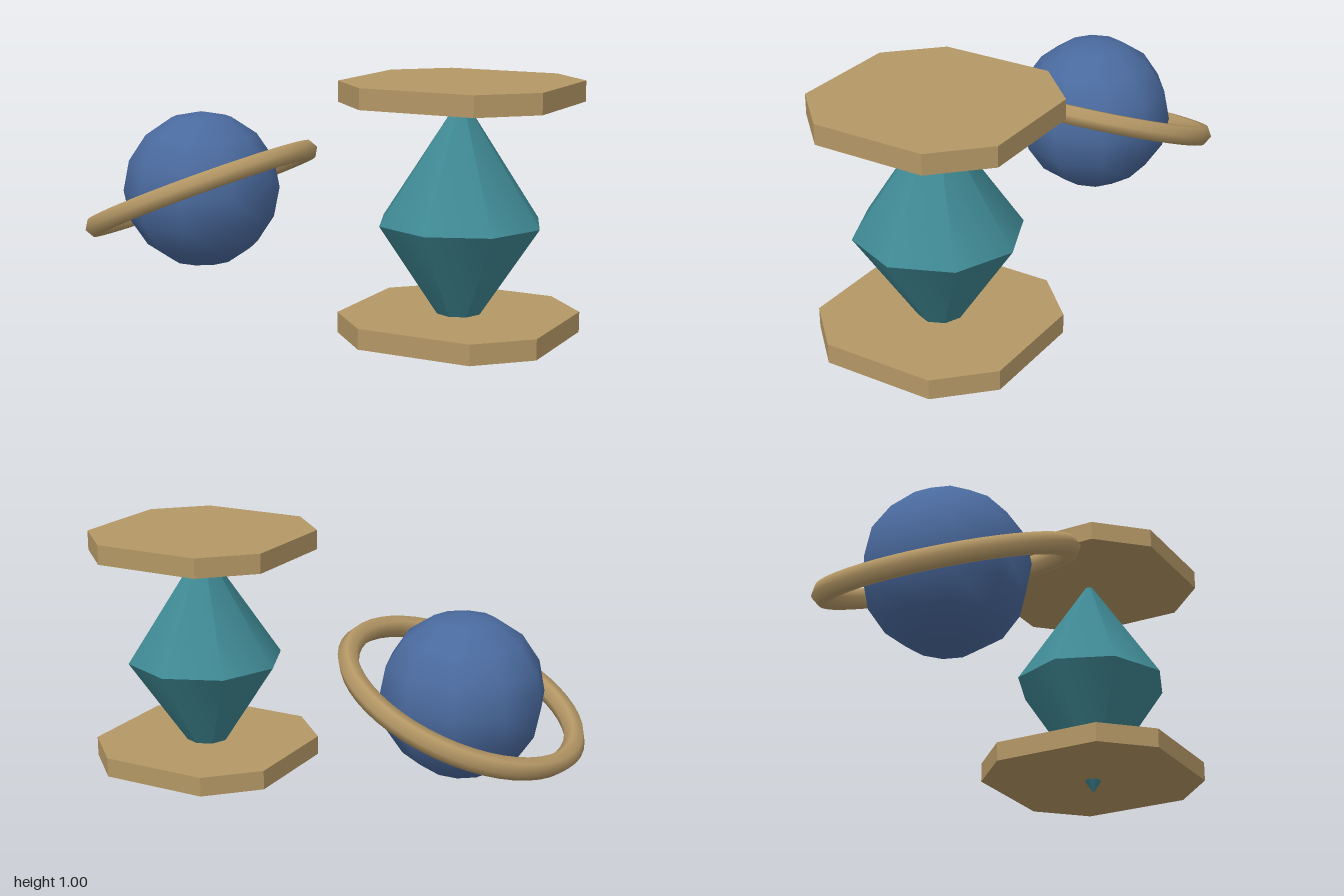
import * as THREE from 'three';

const material = (name, color) => {
  const m = new THREE.MeshStandardMaterial({ color });
  m.name = name;
  return m;
};

export function createModel() {
  const blue = material('planet blue', 0x4a6a9e);
  const tan = material('tan', 0xb49765);
  const teal = material('crystal teal', 0x3f8994);

  const add = (parent, name, geometry, mat, y = 0) => {
    const mesh = new THREE.Mesh(geometry, mat);
    mesh.name = name;
    mesh.position.y = y;
    parent.add(mesh);
    return mesh;
  };

  // Ringed planet, ring raised towards +x
  const planet = new THREE.Group();
  planet.name = 'ringedPlanet';
  planet.position.set(-0.542, 0.508, 0);
  add(planet, 'planetBall', new THREE.SphereGeometry(0.317, 10, 8), blue);
  const ringGeometry = new THREE.TorusGeometry(0.456, 0.042, 6, 48).rotateX(Math.PI / 2);
  add(planet, 'planetRing', ringGeometry, tan).rotation.z = 0.4;

  // Double-pointed crystal held between two plates
  const hourglass = new THREE.Group();
  hourglass.name = 'crystalStand';
  hourglass.position.x = 0.6;
  const coneHeight = 0.475, waist = 0.48;
  const cone = () => new THREE.ConeGeometry(0.317, coneHeight, 8, 1, true);
  add(hourglass, 'crystalTop', cone(), teal, waist + coneHeight / 2);
  add(hourglass, 'crystalBottom', cone().rotateX(Math.PI), teal, waist - coneHeight / 2);

  // Eight-sided plates with slightly short corner cuts
  const a = 0.4, b = 0.22;
  const outline = new THREE.Shape(
    [[a, -b], [a, b], [b, a], [-b, a], [-a, b], [-a, -b], [-b, -a], [b, -a]]
      .map(([x, y]) => new THREE.Vector2(x, y)));
  const plate = new THREE.ExtrudeGeometry(outline, { depth: 0.078, bevelEnabled: false })
    .rotateX(-Math.PI / 2);
  add(hourglass, 'bottomPlate', plate, tan, 0.056);
  add(hourglass, 'topPlate', plate, tan, 0.932);

  const model = new THREE.Group();
  model.name = 'planetAndCrystal';
  model.add(planet, hourglass);
  return model;
}
